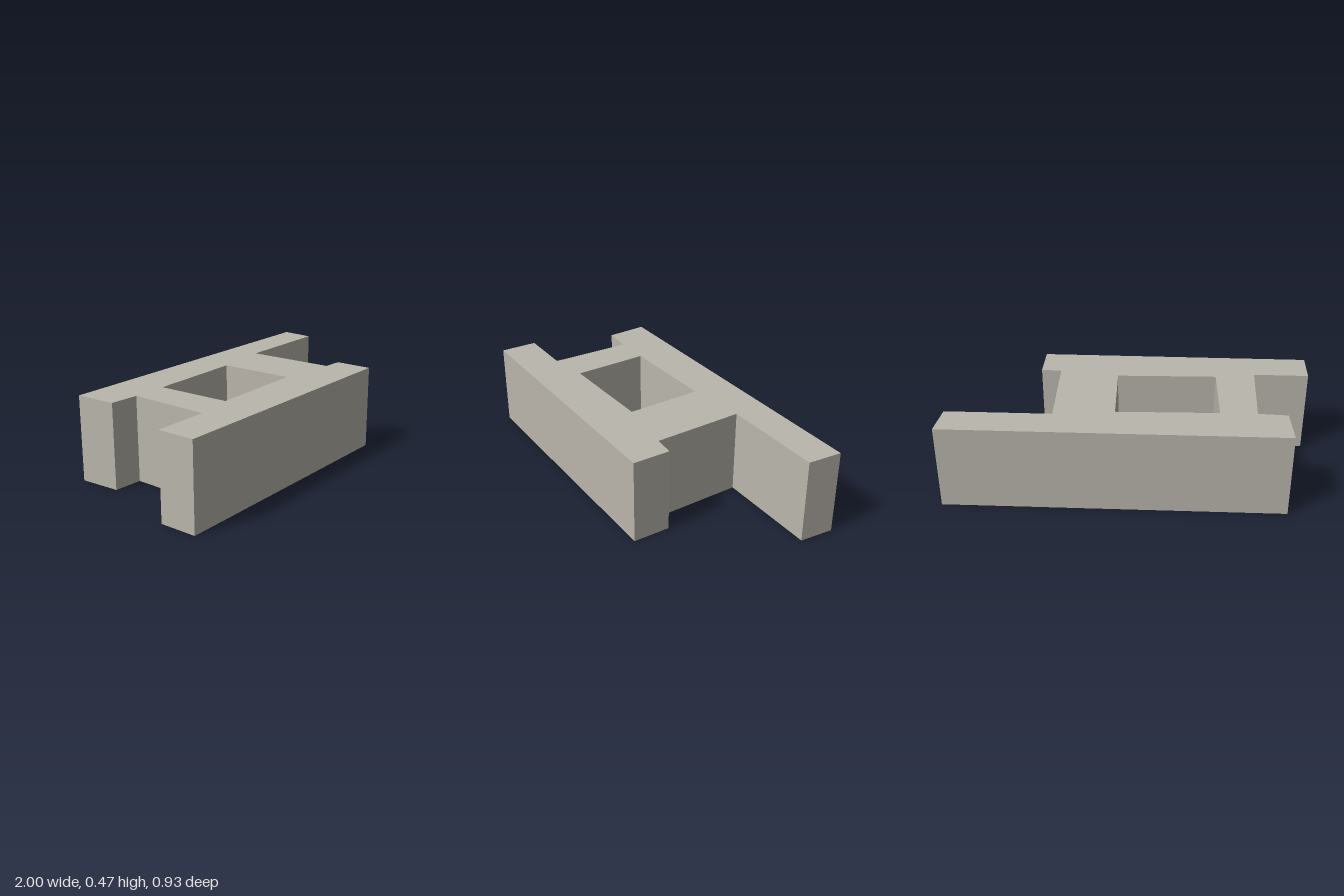
import * as THREE from 'three';

const HEIGHT = 0.465;

// Plan outlines as [x, z]
const OUTLINE = [
  [-1, 0.424], [0.513, 0.464], [0.518, 0.258], [0.407, 0.247],
  [0.407, -0.25], [0.98, -0.238], [1, -0.424], [-0.832, -0.464],
  [-0.826, -0.237], [-0.667, -0.223], [-0.689, 0.225], [-0.993, 0.218],
];
const COURTYARD = [[-0.47, -0.22], [0.08, -0.22], [0.08, 0.195], [-0.47, 0.195]];

const toPoints = (plan) => plan.map(([x, z]) => new THREE.Vector2(x, -z));

export function createModel() {
  const model = new THREE.Group();
  model.name = 'building';

  const stone = new THREE.MeshStandardMaterial({ color: 0xbab6ac });
  stone.name = 'warm grey';

  // Two skewed long wings joined by cross blocks around an open courtyard
  const shape = new THREE.Shape(toPoints(OUTLINE));
  shape.holes.push(new THREE.Path(toPoints(COURTYARD)));
  const geometry = new THREE.ExtrudeGeometry(shape, { depth: HEIGHT, bevelEnabled: false });
  geometry.rotateX(-Math.PI / 2);

  const block = new THREE.Mesh(geometry, stone);
  block.name = 'courtyardBlock';
  model.add(block);
  return model;
}
